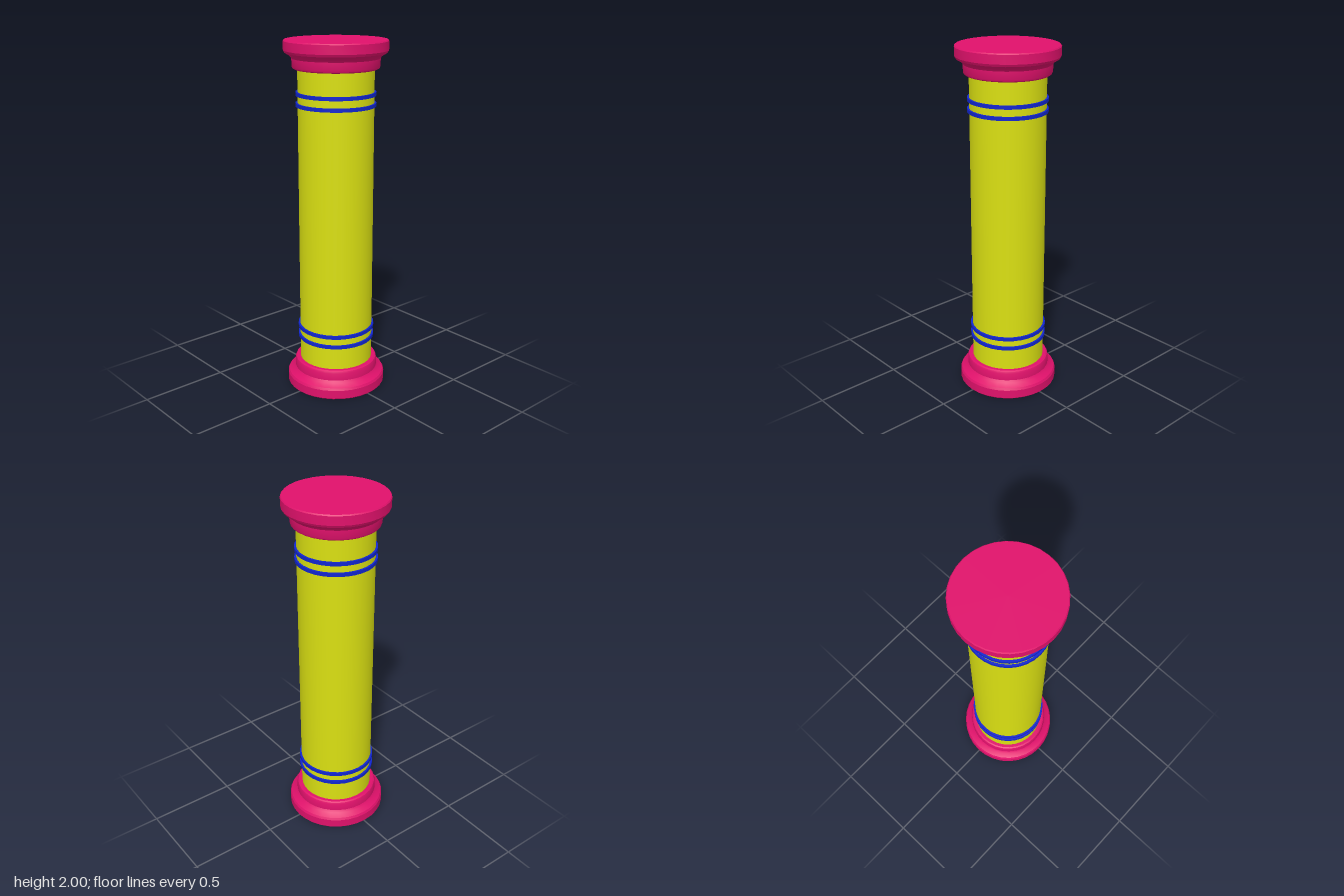
import * as THREE from 'three';
import { toCreasedNormals } from 'three/addons/utils/BufferGeometryUtils.js';

const SIDES = 32;
const HEIGHT = 2;

// Closed turned part; the profile runs from bottom to top.
function turned(name, profile, material) {
  const points = profile.map(([r, y]) => new THREE.Vector2(r, y));
  const geometry = toCreasedNormals(new THREE.LatheGeometry(points, SIDES), 0.45);
  const mesh = new THREE.Mesh(geometry, material);
  mesh.name = name;
  return mesh;
}

export function createModel() {
  const column = new THREE.Group();
  column.name = 'column';
  const pink = new THREE.MeshStandardMaterial({ color: 0xe0116b });
  const yellow = new THREE.MeshStandardMaterial({ color: 0xdae012 });
  const blue = new THREE.MeshStandardMaterial({ color: 0x1226d0 });

  // Moulded base, and the same profile turned over for the capital
  const moulding = [
    [0, 0], [0.28, 0], [0.285, 0.006], [0.285, 0.055], [0.278, 0.068],
    [0.25, 0.085], [0.241, 0.098], [0.24, 0.14], [0.236, 0.15], [0.228, 0.155], [0, 0.155],
  ];
  const flipped = moulding.map(([r, y]) => [r, HEIGHT - y]).reverse();
  column.add(turned('base', moulding, pink), turned('capital', flipped, pink));

  // Plain shaft, its ends sunk into the mouldings
  const shaft = new THREE.Mesh(
    new THREE.CylinderGeometry(0.21, 0.21, 1.74, SIDES, 1), yellow);
  shaft.name = 'shaft';
  shaft.position.y = HEIGHT / 2;
  column.add(shaft);

  // Two pairs of thin raised bands
  for (const y of [0.295, 0.355, 1.652, 1.712]) {
    const band = turned('band', [
      [0.205, -0.01], [0.221, -0.01], [0.221, 0.01], [0.205, 0.01],
    ], blue);
    band.position.y = y;
    column.add(band);
  }
  return column;
}
